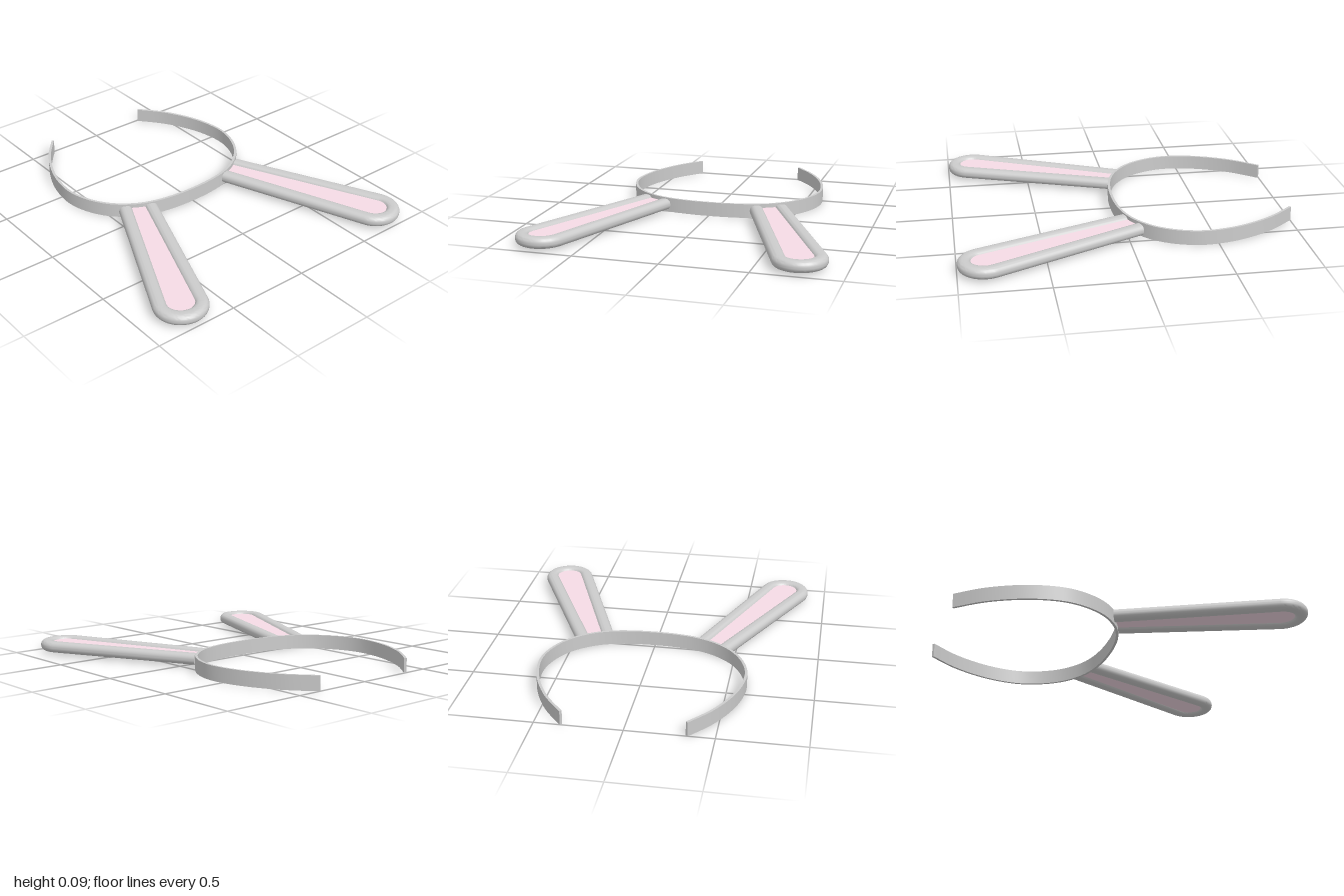
import * as THREE from 'three';
import { toCreasedNormals } from 'three/addons/utils/BufferGeometryUtils.js';

const grey = new THREE.MeshStandardMaterial({ color: 0xcccccc });
const pink = new THREE.MeshStandardMaterial({ color: 0xf5dbe5 });

// Sweeps a convex section (sideways offset, height) along a flat path of (x, z) points.
function sweep(path, section) {
  const pos = [], idx = [], n = section.length, last = path.length - 1;
  path.forEach((p, i) => {
    const t = path[Math.min(i + 1, last)].clone().sub(path[Math.max(i - 1, 0)]).normalize();
    section.forEach(([s, y]) => pos.push(p.x + t.y * s, y, p.y - t.x * s));
  });
  for (let i = 0; i < last; i++) {
    for (let j = 0; j < n; j++) {
      const a = i * n + j, b = i * n + (j + 1) % n;
      idx.push(a, b, b + n, a, b + n, a + n);
    }
  }
  // end caps
  for (let j = 1; j < n - 1; j++) {
    idx.push(0, j + 1, j, last * n, last * n + j, last * n + j + 1);
  }
  const geo = new THREE.BufferGeometry();
  geo.setAttribute('position', new THREE.Float32BufferAttribute(pos, 3));
  geo.setIndex(idx);
  return toCreasedNormals(geo, 0.7);
}

// Tapered U running from the base (z = 0), round the tip and back.
const LENGTH = 0.96;
function earPath(baseHalf, tipRadius) {
  const taper = Math.asin((tipRadius - baseHalf) / LENGTH), steps = 40;
  const pts = [new THREE.Vector2(baseHalf, 0)];
  for (let i = 0; i <= steps; i++) {
    const a = -taper + (Math.PI + 2 * taper) * i / steps;
    pts.push(new THREE.Vector2(tipRadius * Math.cos(a), LENGTH + tipRadius * Math.sin(a)));
  }
  pts.push(new THREE.Vector2(-baseHalf, 0));
  return pts;
}

// Rounded rectangle section centred at height cy
function roundedSection(w, h, r, cy) {
  const pts = [];
  [[1, 1], [-1, 1], [-1, -1], [1, -1]].forEach(([sx, sy], q) => {
    for (let k = 0; k <= 6; k++) {
      const a = (q + k / 6) * Math.PI / 2;
      pts.push([sx * (w / 2 - r) + r * Math.cos(a), cy + sy * (h / 2 - r) + r * Math.sin(a)]);
    }
  });
  return pts;
}

function createEar() {
  const ear = new THREE.Group();
  const rim = new THREE.Mesh(sweep(earPath(0.077, 0.114), roundedSection(0.081, 0.066, 0.031, 0.045)), grey);
  rim.name = 'earRim';
  // coloured panel set in from both faces of the rim
  const panelGeo = new THREE.ExtrudeGeometry(new THREE.Shape(earPath(0.06, 0.097)), { depth: 0.036, bevelEnabled: false });
  panelGeo.rotateX(Math.PI / 2).translate(0, 0.063, 0);
  const panel = new THREE.Mesh(panelGeo, pink);
  panel.name = 'innerEar';
  ear.add(rim, panel);
  return ear;
}

export function createModel() {
  const model = new THREE.Group();
  model.name = 'earHeadband';

  // open headband: half outline mirrored across x
  const half = [[0.13, 0.023], [0.26, 0], [0.38, -0.05], [0.49, -0.14], [0.565, -0.26], [0.602, -0.4],
    [0.59, -0.55], [0.543, -0.7], [0.46, -0.855], [0.345, -0.997]];
  const outline = [...half.map(([x, z]) => [-x, z]).reverse(), [0, 0.029], ...half];
  const curve = new THREE.SplineCurve(outline.map(([x, z]) => new THREE.Vector2(x, z)));
  const t = 0.0075, h = 0.086;
  const band = new THREE.Mesh(sweep(curve.getPoints(120), [[t, 0], [t, h], [-t, h], [-t, 0]]), grey);
  band.name = 'headband';
  model.add(band);

  // ears splayed outward from the front of the band
  for (const side of [1, -1]) {
    const ear = createEar();
    ear.name = side > 0 ? 'leftEar' : 'rightEar';
    ear.position.set(0.36 * side, 0, -0.04);
    ear.rotation.y = 0.4035 * side;
    model.add(ear);
  }
  return model;
}
